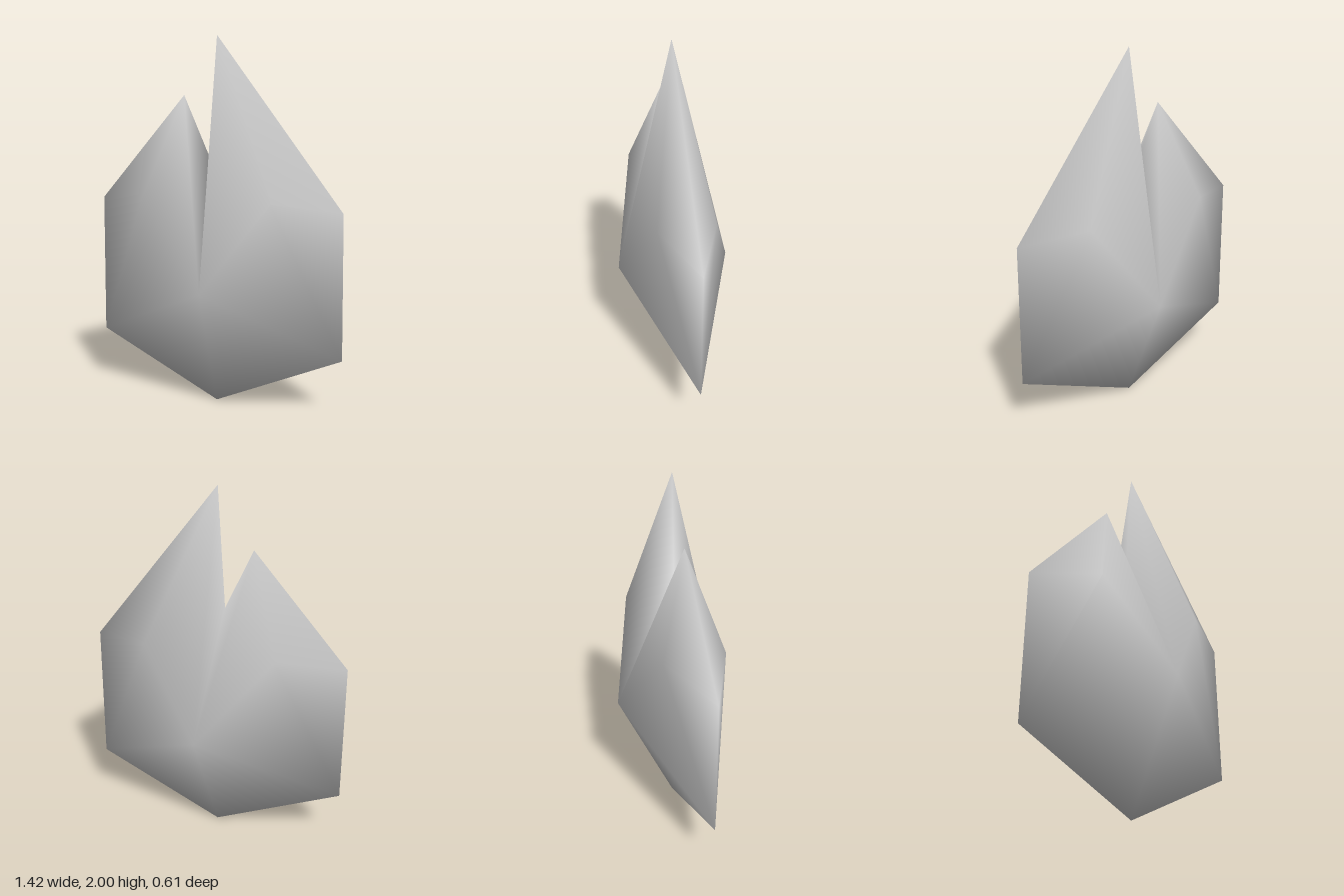
import * as THREE from 'three';

// Outline in the z = 0 plane, counter-clockwise from the bottom point
const rim = [
  [0, 0], [0.71, 0.33], [0.695, 1.11], [0, 2],
  [-0.04, 1.36], [-0.19, 1.69], [-0.7, 1.11], [-0.71, 0.33],
];

// Raised points, mirrored to the back: central apex, then the bulge of each lobe
const raised = [[0.03, 0.69, 0.305], [0.36, 1.16, 0.152], [-0.36, 1.17, 0.165]];

export function createModel() {
  const group = new THREE.Group();
  group.name = 'splitShard';
  const stone = new THREE.MeshStandardMaterial({ color: 0xcccccc });
  stone.name = 'paleGrey';

  const points = rim.map(([x, y]) => [x, y, 0]);
  const front = points.length;
  for (const side of [1, -1]) {
    for (const [x, y, z] of raised) points.push([x, y, z * side]);
  }

  // Fans of faces between the rim and the raised points on one side
  const index = [];
  const fan = (centre, loop, flip) => {
    for (let i = 0; i < loop.length - 1; i++) {
      const [a, b] = flip ? [loop[i + 1], loop[i]] : [loop[i], loop[i + 1]];
      index.push(centre, a, b);
    }
  };
  for (const flip of [false, true]) {
    const apex = front + (flip ? raised.length : 0);
    fan(apex, [7, 0, 1], flip); // lower facets
    fan(apex, [3, 4, 5], flip); // groove under the notch
    fan(apex + 1, [apex, 1, 2, 3, apex], flip); // tall lobe
    fan(apex + 2, [apex, 5, 6, 7, apex], flip); // short lobe
  }

  const geometry = new THREE.BufferGeometry();
  geometry.setAttribute('position', new THREE.Float32BufferAttribute(points.flat(), 3));
  geometry.setIndex(index);
  geometry.computeVertexNormals();

  const body = new THREE.Mesh(geometry, stone);
  body.name = 'shardBody';
  group.add(body);
  return group;
}
